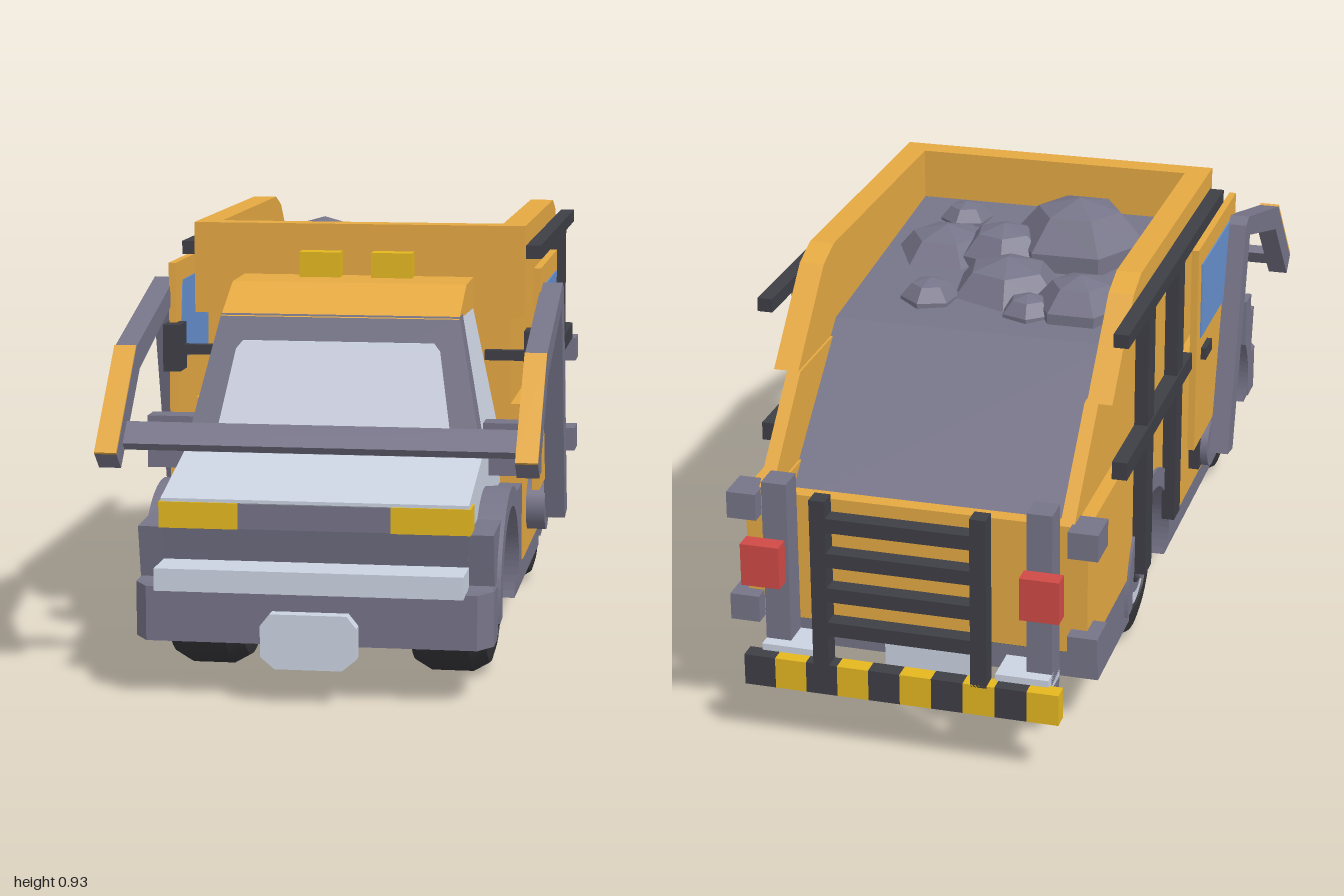
import * as THREE from 'three';
import { toCreasedNormals } from 'three/addons/utils/BufferGeometryUtils.js';

const paint = (name, color) => {
  const m = new THREE.MeshStandardMaterial({ color });
  m.name = name;
  return m;
};

export function createModel() {
  const truck = new THREE.Group();
  truck.name = 'dumpTruck';
  const yellow = paint('yellow', 0xe5a943), grey = paint('grey', 0x767488), black = paint('black', 0x3e3e46);
  const silver = paint('silver', 0xcbd3e2), glass = paint('glass', 0xd2d7e8), blue = paint('windowBlue', 0x668fce);
  const red = paint('red', 0xd04a46), gold = paint('gold', 0xe4b820), rubber = paint('rubber', 0x36363a);
  const green = paint('darkGreen', 0x24604f);

  const add = (name, geo, mat) => {
    const m = new THREE.Mesh(geo, mat);
    m.name = name;
    truck.add(m);
    return m;
  };
  // box from its x, y and z ranges
  const box = (name, mat, x0, x1, y0, y1, z0, z1) =>
    add(name, new THREE.BoxGeometry(x1 - x0, y1 - y0, z1 - z0)
      .translate((x0 + x1) / 2, (y0 + y1) / 2, (z0 + z1) / 2), mat);
  const pair = (name, mat, x0, x1, ...yz) => {
    box(name + 'Left', mat, x0, x1, ...yz);
    box(name + 'Right', mat, -x1, -x0, ...yz);
  };
  const poly = (pts) => new THREE.Shape(pts.map(([a, b]) => new THREE.Vector2(a, b)));
  // side profile in (z, y), extruded across x
  const across = (shape, x0, x1) =>
    new THREE.ExtrudeGeometry(shape, { depth: x1 - x0, bevelEnabled: false, curveSegments: 20 })
      .rotateY(-Math.PI / 2).translate(x1, 0, 0);
  const slab = (name, mat, pts, x0, x1) => add(name, across(poly(pts), x0, x1), mat);
  const slabPair = (name, mat, shape, x0, x1) => {
    add(name + 'Left', across(shape, x0, x1), mat);
    add(name + 'Right', across(shape, -x1, -x0), mat);
  };

  const axleY = 0.175, frontZ = 0.63, rearZ = -0.31;

  // chassis sides: wheel cut-outs along the bottom, arch humps along the top
  const sill = new THREE.Shape();
  const archUnder = (z) => {
    const a = Math.asin((0.12 - axleY) / 0.182);
    sill.absarc(z, axleY, 0.182, Math.PI - a, a, true);
  };
  const archOver = (z, base) => {
    const a = Math.asin((base - axleY) / 0.223);
    sill.absarc(z, axleY, 0.223, a, Math.PI - a, false);
  };
  sill.moveTo(-0.77, 0.235);
  sill.lineTo(-0.77, 0.12);
  archUnder(rearZ);
  archUnder(frontZ);
  [[0.92, 0.12], [0.92, 0.235], [0.89, 0.24], [0.912, 0.35]].forEach(([z, y]) => sill.lineTo(z, y));
  archOver(frontZ, 0.355);
  [[0.3, 0.35], [0.3, 0.235]].forEach(([z, y]) => sill.lineTo(z, y));
  archOver(rearZ, 0.235);
  sill.lineTo(-0.77, 0.235);
  slabPair('chassisSide', grey, sill, 0.17, 0.372);
  box('chassisCentre', grey, -0.17, 0.17, 0.12, 0.235, -0.77, 0.95);
  box('rearWheelWell', black, -0.172, 0.172, 0.235, 0.44, -0.55, -0.08);

  // wheel arch flares
  for (const z of [frontZ, rearZ]) {
    const flare = new THREE.Shape();
    flare.absarc(z, axleY, 0.225, -0.1, Math.PI + 0.1, false);
    flare.absarc(z, axleY, 0.182, Math.PI + 0.1, -0.1, true);
    slabPair('wheelArch', grey, flare, 0.34, 0.381);
  }

  // wheels
  const tyrePts = [[0.03, -0.0875], [0.13, -0.0875], [0.155, -0.08], [0.175, -0.045], [0.175, 0.045],
    [0.155, 0.08], [0.13, 0.0875], [0.1, 0.0875], [0.095, 0.075], [0.001, 0.075]];
  const tyre = toCreasedNormals(new THREE.LatheGeometry(tyrePts.map((p) => new THREE.Vector2(...p)), 28), 0.5);
  for (const z of [frontZ, rearZ]) for (const s of [1, -1]) {
    const wheel = new THREE.Group();
    wheel.name = (z > 0 ? 'front' : 'rear') + 'Wheel' + (s > 0 ? 'Left' : 'Right');
    const part = (name, geo, mat) => {
      const m = new THREE.Mesh(geo, mat);
      m.name = name;
      wheel.add(m);
    };
    part('tyre', tyre, rubber);
    [['rim', 0.097, 0.083, silver], ['rimRing', 0.066, 0.086, grey], ['hubRing', 0.042, 0.09, black],
      ['hubCap', 0.032, 0.1, grey]].forEach(([n, r, top, mat]) =>
      part(n, new THREE.CylinderGeometry(r, r, 0.03, 20).translate(0, top - 0.015, 0), mat));
    wheel.rotation.z = -s * Math.PI / 2;
    wheel.position.set(s * 0.261, axleY, z);
    truck.add(wheel);
  }

  // front bumper with chamfered corners, drawn in plan
  const bumper = new THREE.ExtrudeGeometry(
    poly([[-0.375, -0.85], [-0.375, -0.92], [-0.345, -0.965], [0.345, -0.965], [0.375, -0.92], [0.375, -0.85]]),
    { depth: 0.115, bevelEnabled: false }).rotateX(-Math.PI / 2).translate(0, 0.12, 0);
  add('frontBumper', bumper, grey);
  box('bumperStrip', silver, -0.32, 0.32, 0.233, 0.28, 0.9, 1.0);
  const plate = poly([[-0.07, 0.075], [0.07, 0.075], [0.1, 0.1], [0.1, 0.165], [0.08, 0.19],
    [-0.08, 0.19], [-0.1, 0.165], [-0.1, 0.1]]);
  const plateGeo = (z) => new THREE.ExtrudeGeometry(plate, { depth: 0.03, bevelEnabled: false }).translate(0, 0, z);
  add('frontPlate', plateGeo(0.965), silver);
  add('rearPlate', plateGeo(-0.79), silver);

  // nose and hood
  slab('nose', grey, [[0.3, 0.235], [0.89, 0.235], [0.915, 0.35], [0.915, 0.405], [0.3, 0.405]], -0.32, 0.32);
  slab('hood', silver, [[0.3, 0.35], [0.85, 0.35], [0.918, 0.405], [0.918, 0.412], [0.66, 0.475], [0.3, 0.475]], -0.322, 0.322);
  pair('headlight', gold, 0.16, 0.326, 0.35, 0.405, 0.855, 0.922);

  // cabin narrows towards the roof
  const taper = (geo) => {
    const p = geo.attributes.position;
    for (let i = 0; i < p.count; i++) p.setX(i, p.getX(i) * (1 - (p.getY(i) - 0.47) * 0.67));
    geo.computeVertexNormals();
    return geo;
  };
  const cab = (name, mat, pts, w) => add(name, taper(across(poly(pts), -w, w)), mat);
  cab('cabin', silver, [[0.28, 0.47], [0.64, 0.47], [0.54, 0.755], [0.28, 0.755]], 0.318);
  cab('windscreenFrame', grey, [[0.61, 0.47], [0.68, 0.47], [0.57, 0.757], [0.51, 0.757]], 0.322);
  const zAt = (y) => 0.68 - (y - 0.47) * 0.383;
  const pane = new THREE.ExtrudeGeometry(poly([[-0.26, 0.472], [0.26, 0.472], [0.222, 0.685], [0.208, 0.702],
    [-0.208, 0.702], [-0.222, 0.685]]), { depth: 0.008, bevelEnabled: false });
  const pp = pane.attributes.position;
  for (let i = 0; i < pp.count; i++) pp.setZ(i, pp.getZ(i) + zAt(pp.getY(i)) - 0.002);
  pane.computeVertexNormals();
  add('windscreen', pane, glass);
  slab('cabRoof', yellow, [[0.28, 0.745], [0.575, 0.752], [0.44, 0.813], [0.28, 0.815]], -0.26, 0.26);
  pair('roofLamp', gold, 0.035, 0.127, 0.81, 0.87, 0.29, 0.345);

  // doors, mirrors
  const door = poly([[-0.04, 0.35], [0.38, 0.35], [0.38, 0.845], [-0.04, 0.845]]);
  slabPair('door', yellow, door, 0.402, 0.418);
  const sideWindow = poly([[-0.005, 0.62], [0.345, 0.62], [0.31, 0.8], [-0.005, 0.8]]);
  slabPair('sideWindow', blue, sideWindow, 0.4, 0.421);
  pair('doorHandle', black, 0.415, 0.43, 0.56, 0.588, 0.01, 0.078);
  pair('mirror', black, 0.385, 0.424, 0.605, 0.71, 0.35, 0.42);
  pair('mirrorArm', black, 0.295, 0.395, 0.64, 0.662, 0.365, 0.388);

  // dump body: solid base, open bin above
  const base = new THREE.Shape();
  base.moveTo(-0.88, 0.24);
  base.lineTo(rearZ - 0.17, 0.24);
  base.absarc(rearZ, axleY, 0.19, Math.PI - 0.35, 0, true);
  [[0.3, 0.175], [0.3, 0.45], [-0.88, 0.45]].forEach(([z, y]) => base.lineTo(z, y));
  add('bodyBase', across(base, -0.375, 0.375), yellow);
  box('bodyUnderside', green, -0.36, 0.36, 0.234, 0.241, -0.87, -0.76);
  slabPair('lowerWall', yellow, poly([[-0.88, 0.45], [0.3, 0.45], [0.3, 0.53], [-0.88, 0.53]]), 0.31, 0.375);
  slabPair('middleWall', yellow, poly([[-0.88, 0.53], [0.3, 0.53], [0.3, 0.725], [-0.682, 0.725]]), 0.315, 0.345);
  slabPair('upperWall', yellow, poly([[-0.682, 0.725], [0.3, 0.725], [0.3, 0.93], [-0.43, 0.93], [-0.5, 0.905]]), 0.32, 0.375);
  box('frontWall', yellow, -0.322, 0.322, 0.4, 0.93, 0.245, 0.3);
  slab('tailWall', yellow, [[-0.88, 0.44], [-0.77, 0.44], [-0.845, 0.53], [-0.88, 0.53]], -0.315, 0.315);

  // heaped load of rubble, sloping down to the tail
  slab('load', grey, [[-0.8, 0.44], [0.25, 0.44], [0.25, 0.815], [-0.43, 0.755], [-0.8, 0.455]], -0.32, 0.32);
  [[-0.2, -0.27, 0.11], [-0.09, -0.31, 0.065], [0.145, -0.285, 0.07], [-0.12, 0.03, 0.165], [0.04, -0.04, 0.11],
    [0.185, 0.145, 0.065], [0.18, -0.03, 0.14], [-0.01, -0.19, 0.15]].forEach(([x, z, r], i) => {
    const g = new THREE.SphereGeometry(r, 6, 5).toNonIndexed();
    g.computeVertexNormals();
    const rock = add('rock' + (i + 1), g, grey);
    rock.scale.y = 0.85;
    rock.rotation.y = i * 0.7;
    rock.position.set(x, 0.78 + z * 0.088 - (i > 5 ? 0.045 : 0), z);
  });

  // side rack
  for (const z of [-0.155, -0.447]) pair('rackPost', black, 0.375, 0.405, 0.235, 0.87, z - 0.03, z + 0.03);
  pair('rackTopRail', black, 0.375, 0.408, 0.855, 0.885, -0.68, 0.28);
  pair('rackMiddleRail', black, 0.375, 0.408, 0.555, 0.595, -0.68, -0.04);

  // lifting arms with crossbar
  const arm = poly([[0.205, 0.255], [0.345, 0.755], [0.69, 0.65], [0.875, 0.465], [0.915, 0.5],
    [0.72, 0.7], [0.325, 0.808], [0.295, 0.795], [0.145, 0.265]]);
  slabPair('liftArm', grey, arm, 0.415, 0.462);
  slabPair('armStripe', yellow, poly([[0.915, 0.5], [0.919, 0.504], [0.724, 0.704], [0.72, 0.7]]), 0.415, 0.462);
  for (const s of [1, -1]) {
    add('armPivot', new THREE.CylinderGeometry(0.058, 0.058, 0.055, 20).rotateZ(Math.PI / 2)
      .translate(s * 0.39, 0.28, 0.175), grey);
  }
  pair('pivotMount', black, 0.37, 0.4, 0.235, 0.35, 0.105, 0.17);
  pair('fenderBox', grey, 0.31, 0.432, 0.41, 0.525, 0.49, 0.548);
  add('armCrossbar', new THREE.BoxGeometry(0.832, 0.022, 0.058).rotateX(Math.PI / 4)
    .translate(0, 0.527, 0.83), grey);

  // rear posts, lights, gate
  pair('rearPost', grey, 0.26, 0.315, 0.15, 0.58, -0.942, -0.88);
  pair('rearBracket', silver, 0.2, 0.315, 0.18, 0.215, -0.97, -0.88);
  pair('tailLight', red, 0.26, 0.345, 0.365, 0.46, -1, -0.96);
  for (const y of [0.235, 0.475]) pair('cornerBracket', grey, 0.34, 0.405, y, y + 0.06, -0.915, -0.83);
  pair('gatePost', black, 0.155, 0.19, 0.195, 0.58, -1, -0.96);
  for (const y of [0.27, 0.35, 0.43, 0.51]) box('gateBar', black, -0.16, 0.16, y, y + 0.032, -1, -0.962);
  for (let i = 0; i < 10; i++) {
    const x = -0.345 + i * 0.069;
    box('stripedBumper' + (i + 1), i % 2 ? black : gold, x, x + 0.069, 0.13, 0.2, -1, -0.962);
  }
  return truck;
}
